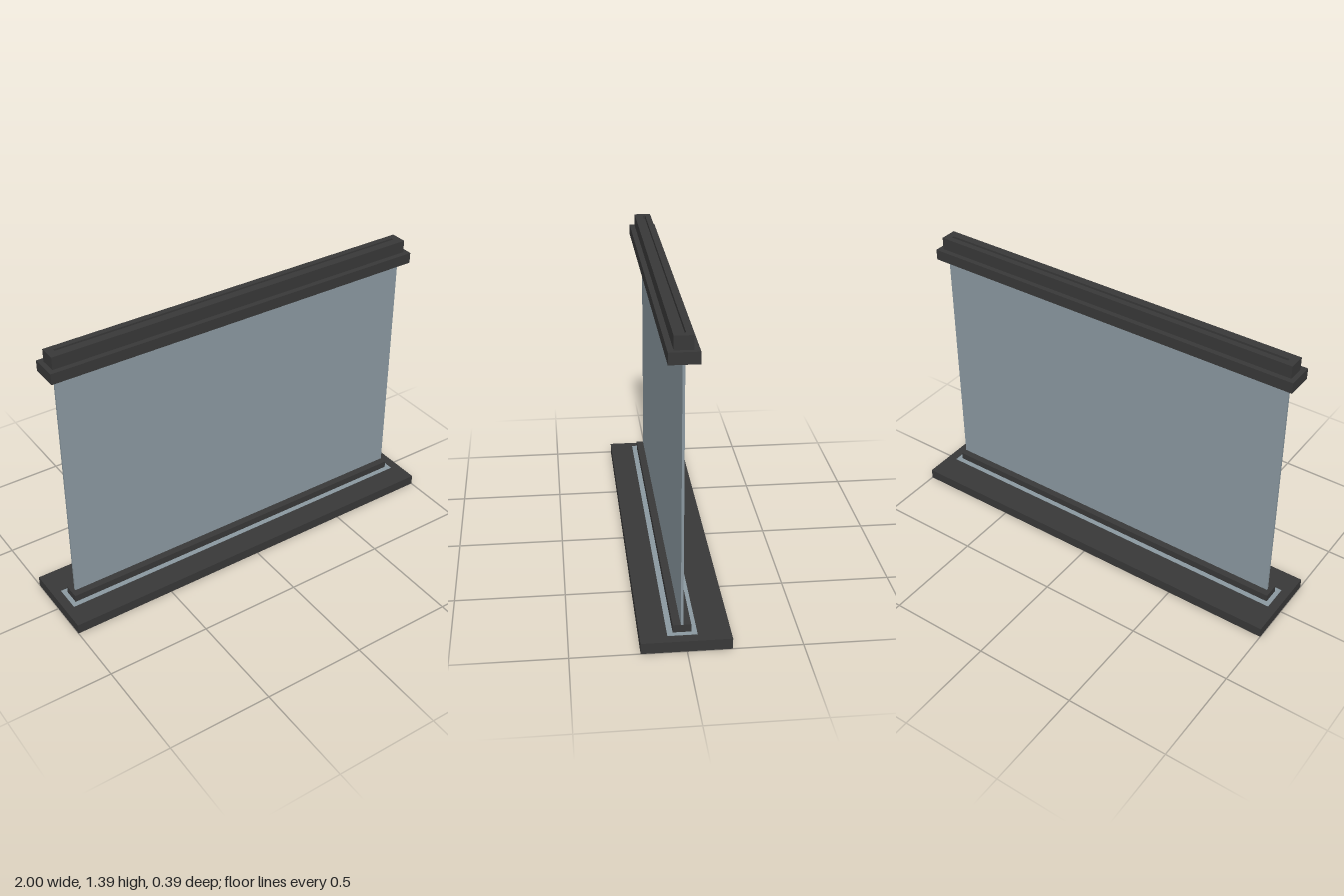
import * as THREE from 'three';

const dark = new THREE.MeshStandardMaterial({ color: 0x383838 });
const glass = new THREE.MeshStandardMaterial({ color: 0x8a98a0 });

// Box given by its extents on each axis
function slab(name, material, [x0, x1], [y0, y1], [z0, z1]) {
  const mesh = new THREE.Mesh(new THREE.BoxGeometry(x1 - x0, y1 - y0, z1 - z0), material);
  mesh.position.set((x0 + x1) / 2, (y0 + y1) / 2, (z0 + z1) / 2);
  mesh.name = name;
  return mesh;
}

// Rectangle outline in plan; shape y is -z
function outline(Kind, [x0, x1], [z0, z1]) {
  return new Kind().moveTo(x0, -z1).lineTo(x1, -z1).lineTo(x1, -z0).lineTo(x0, -z0).closePath();
}

export function createModel() {
  const model = new THREE.Group();
  model.name = 'glassDivider';

  const railX = [-0.935, 0.93], railZ = [-0.025, 0.055];
  const capX = [-0.957, 0.953], capZ = [-0.05, 0.08];

  // Base plate, pale inlay around the foot of the rail, lower rail
  model.add(slab('basePlate', dark, [-1, 1], [0, 0.05], [-0.195, 0.198]));
  model.add(slab('baseInlay', glass, capX, [0.048, 0.0515], capZ));
  model.add(slab('lowerRail', dark, railX, [0.05, 0.087], railZ));

  // Thin pane between the rails
  model.add(slab('pane', glass, [-0.915, 0.93], [0.08, 1.285], [0.009, 0.02]));

  // Upper rail: wide clamp with a narrower cap on it
  model.add(slab('upperClamp', dark, capX, [1.28, 1.332], capZ));
  model.add(slab('upperCap', dark, railX, [1.332, 1.375], railZ));

  // Rim of the cap, leaving a shallow slot along its top
  const rim = outline(THREE.Shape, railX, railZ);
  rim.holes.push(outline(THREE.Path, [-0.9, 0.895], [0.003, 0.016]));
  const rimGeometry = new THREE.ExtrudeGeometry(rim, { depth: 0.017, bevelEnabled: false });
  rimGeometry.rotateX(-Math.PI / 2).translate(0, 1.375, 0);
  const rimMesh = new THREE.Mesh(rimGeometry, dark);
  rimMesh.name = 'slottedCapTop';
  model.add(rimMesh);

  return model;
}
